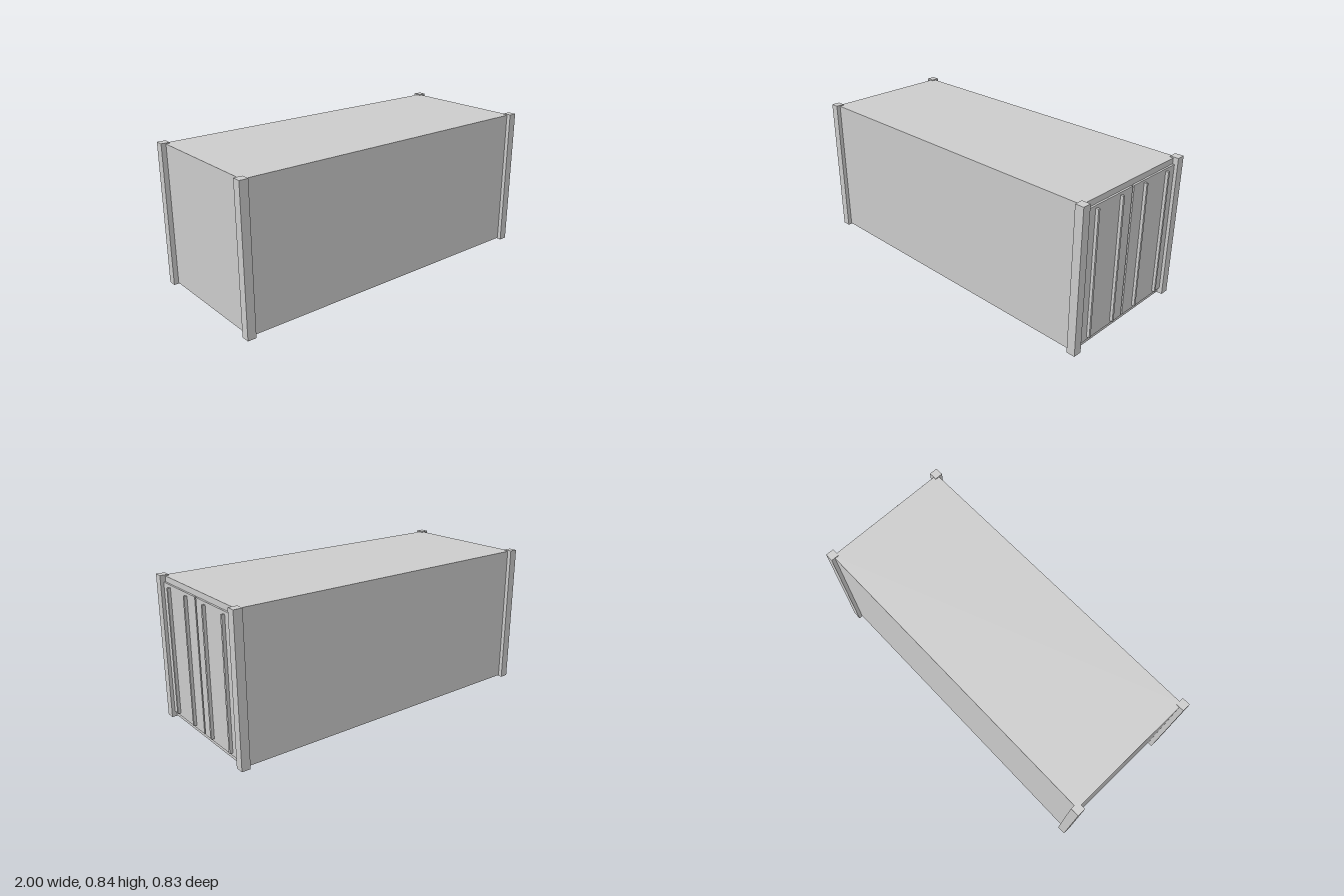
import * as THREE from 'three';

export function createModel() {
  const model = new THREE.Group();
  const material = new THREE.MeshStandardMaterial({ color: 0xcccccc, flatShading: true });

  // Box given by its minimum and maximum corners
  function addBox(name, [x0, y0, z0], [x1, y1, z1]) {
    const mesh = new THREE.Mesh(new THREE.BoxGeometry(x1 - x0, y1 - y0, z1 - z0), material);
    mesh.position.set((x0 + x1) / 2, (y0 + y1) / 2, (z0 + z1) / 2);
    mesh.name = name;
    model.add(mesh);
  }

  // Plain container body, slightly recessed from the posts on every side
  addBox('body', [-0.972, 0.005, -0.394], [0.97, 0.834, 0.394]);

  // Corner posts
  for (const sx of [-1, 1]) {
    for (const sz of [-1, 1]) {
      const x = sx * 0.975, z = sz * 0.3925;
      addBox('cornerPost', [x - 0.025, 0, z - 0.025], [x + 0.025, 0.84, z + 0.025]);
    }
  }

  // Double doors on the left end, each with two vertical locking bars
  for (const side of [-1, 1]) {
    const inner = side * 0.006, outer = side * 0.3675;
    addBox('door', [0.965, 0.033, Math.min(inner, outer)], [0.981, 0.801, Math.max(inner, outer)]);
    for (const offset of [0.099, 0.294]) {
      const z = side * offset;
      addBox('lockingBar', [0.979, 0.05, z - 0.0065], [0.998, 0.786, z + 0.0065]);
    }
  }

  return model;
}
